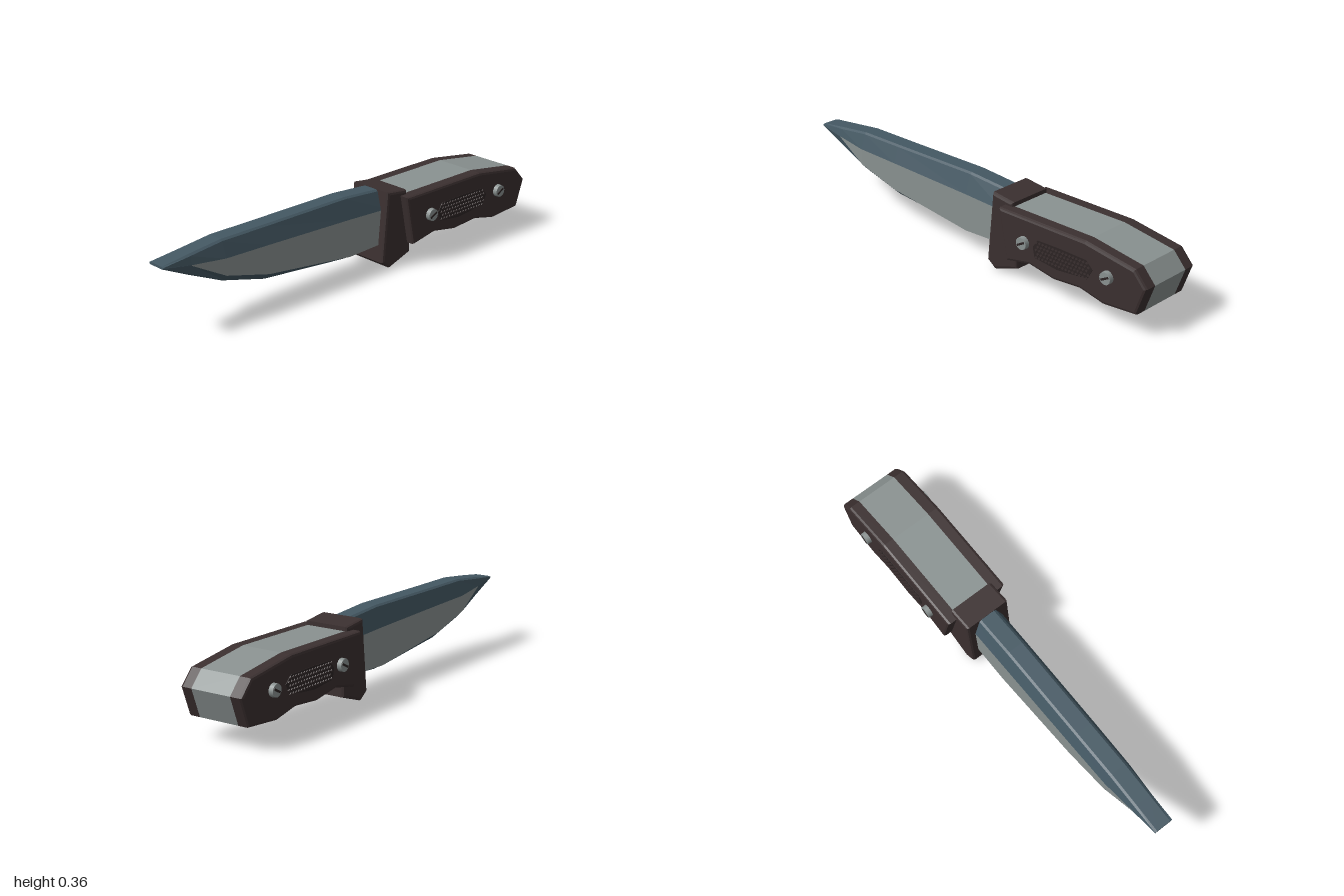
import * as THREE from 'three';

const paint = (name, color) => {
  const m = new THREE.MeshStandardMaterial({ color });
  m.name = name;
  return m;
};

const toShape = (pts) => new THREE.Shape(pts.map(([x, y]) => new THREE.Vector2(x, y)));

// Outline in the xy plane, extruded from z0 to z1 with a bevel that stays inside the outline
function slab(name, pts, z0, z1, bevel, material) {
  const geo = new THREE.ExtrudeGeometry(toShape(pts), {
    depth: z1 - z0 - 2 * bevel, bevelEnabled: bevel > 0, bevelThickness: bevel,
    bevelSize: bevel, bevelOffset: -bevel, bevelSegments: 2,
  });
  geo.translate(0, 0, z0 + bevel);
  const mesh = new THREE.Mesh(geo, material);
  mesh.name = name;
  return mesh;
}

// Blade lofted through cross-sections; the flat flank on each side is bare metal
function makeBlade(coated, bare) {
  // x, spine y, flank top y, flank bottom y, edge y, flank half width
  const stations = [
    [-1, 0.325, 0.32, 0.319, 0.314, 0.045],
    [-0.87, 0.342, 0.3, 0.297, 0.253, 0.053],
    [-0.71, 0.36, 0.286, 0.212, 0.182, 0.066],
    [-0.49, 0.361, 0.283, 0.155, 0.124, 0.069],
    [-0.04, 0.365, 0.273, 0.103, 0.084, 0.072],
    [0.18, 0.35, 0.265, 0.113, 0.098, 0.073],
  ];
  const rings = stations.map(([x, top, ft, fb, bot, w]) => {
    const c = Math.min(0.007, (top - ft) / 2);
    const half = [[top, 0.034], [top - c, 0.044], [ft, w], [fb, w], [bot + c, 0.044], [bot, 0.034]];
    const back = half.map(([y, z]) => [y, -z]).reverse();
    return [...half, ...back].map(([y, z]) => [x, y, z]);
  });
  const n = rings[0].length;
  const coatedTris = [], bareTris = [];
  for (let i = 0; i < rings.length - 1; i++) {
    for (let j = 0; j < n; j++) {
      const k = (j + 1) % n;
      const a = rings[i][j], b = rings[i + 1][j], c = rings[i + 1][k], d = rings[i][k];
      const flank = i > 0 && (j === 2 || j === 8);
      (flank ? bareTris : coatedTris).push(...a, ...d, ...c, ...a, ...c, ...b);
    }
  }
  // Blunt cap at the tip
  for (let j = 1; j < n - 1; j++) coatedTris.push(...rings[0][0], ...rings[0][j + 1], ...rings[0][j]);

  const geo = new THREE.BufferGeometry();
  geo.setAttribute('position', new THREE.Float32BufferAttribute([...coatedTris, ...bareTris], 3));
  geo.addGroup(0, coatedTris.length / 3, 0);
  geo.addGroup(coatedTris.length / 3, bareTris.length / 3, 1);
  geo.computeVertexNormals();
  const mesh = new THREE.Mesh(geo, [coated, bare]);
  mesh.name = 'blade';
  return mesh;
}

// Slotted screw facing +z
function makeScrew(x, metal, slotColor) {
  const screw = new THREE.Group();
  screw.name = 'screw';
  const head = new THREE.Mesh(new THREE.CylinderGeometry(0.027, 0.029, 0.03, 16), metal);
  head.name = 'screwHead';
  head.rotation.x = Math.PI / 2;
  const slot = new THREE.Mesh(new THREE.BoxGeometry(0.042, 0.009, 0.003), slotColor);
  slot.name = 'screwSlot';
  slot.position.z = 0.0155;
  slot.rotation.z = 0.5;
  screw.add(head, slot);
  screw.position.set(x, 0.213, 0.156);
  return screw;
}

// Knurled grip panel: thin plate covered with staggered studs
function makeGrip(base, studColor) {
  const grip = new THREE.Group();
  grip.name = 'gripPanel';
  const outline = [[0.43, 0.165], [0.42, 0.21], [0.445, 0.247], [0.56, 0.25], [0.7, 0.248],
    [0.735, 0.215], [0.71, 0.17], [0.63, 0.16], [0.55, 0.152]];
  grip.add(slab('gripPlate', outline, 0.148, 0.153, 0, base));
  const spots = [];
  for (let r = 0; r < 5; r++) {
    for (let c = 0; c < 16; c++) spots.push([0.44 + c * 0.0178 + (r % 2) * 0.009, 0.171 + r * 0.0165]);
  }
  const studs = new THREE.InstancedMesh(new THREE.BoxGeometry(0.009, 0.009, 0.006), studColor, 0);
  for (const [x, y] of spots) {
    const stud = new THREE.Mesh(studs.geometry, studColor);
    stud.name = 'gripStud';
    stud.position.set(x, y, 0.154);
    stud.rotation.z = Math.PI / 4;
    grip.add(stud);
  }
  return grip;
}

export function createModel() {
  const coated = paint('blueSteel', 0x445863);
  const bare = paint('bareSteel', 0x8a9291);
  const brown = paint('darkBrown', 0x3b3030);
  const shade = paint('gripBrown', 0x2c2424);

  const knife = new THREE.Group();
  knife.name = 'knife';
  knife.add(makeBlade(coated, bare));

  // Guard between blade and handle
  const guard = [[0.15, 0.354], [0.265, 0.34], [0.268, 0.25], [0.29, 0.1], [0.29, 0.045],
    [0.165, 0.002], [0.12, 0.035]];
  knife.add(slab('guard', guard, -0.108, 0.108, 0.012, brown));

  // Metal tang sandwiched between the handle scales
  const profile = [[0.69, 0.325], [0.94, 0.288], [1, 0.222], [0.955, 0.097], [0.79, 0.084],
    [0.67, 0.11], [0.53, 0.099], [0.4, 0.121]];
  knife.add(slab('tang', [[0.262, 0.322], ...profile, [0.272, 0.097]], -0.095, 0.095, 0, bare));

  // Each side: scale, grip panel and two screws
  const scale = [[0.225, 0.322], ...profile, [0.27, 0.095]];
  for (const turn of [false, true]) {
    const side = new THREE.Group();
    side.name = turn ? 'handleBack' : 'handleFront';
    side.add(slab('scale', scale, 0.083, 0.151, 0.012, brown));
    side.add(makeGrip(shade, brown));
    for (const x of [0.37, 0.812]) side.add(makeScrew(x, bare, shade));
    if (turn) side.scale.z = -1;
    knife.add(side);
  }
  return knife;
}
